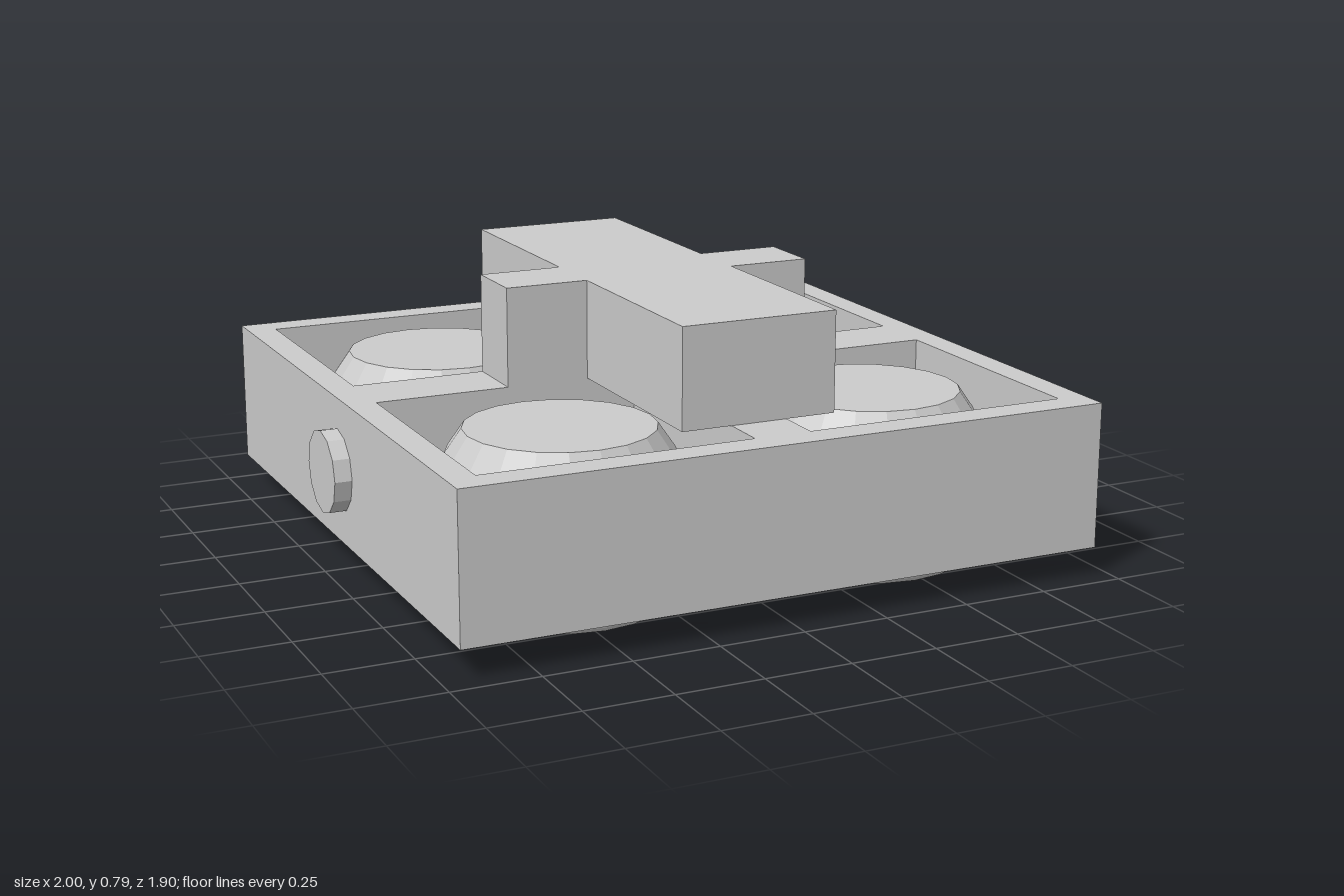
import * as THREE from 'three';

const material = new THREE.MeshStandardMaterial({ color: 0xcccccc, flatShading: true });

function add(group, name, geometry, x = 0, y = 0, z = 0) {
  const mesh = new THREE.Mesh(geometry, material);
  mesh.name = name;
  mesh.position.set(x, y, z);
  group.add(mesh);
  return mesh;
}

// Closed rectangle outline between two corners
function rectangle(x0, y0, x1, y1, Type = THREE.Shape) {
  return new Type([[x0, y0], [x1, y0], [x1, y1], [x0, y1]].map(p => new THREE.Vector2(...p)));
}

export function createModel() {
  const model = new THREE.Group();
  const signs = [-1, 1];

  // Square frame with a cross brace, leaving four open bays
  const frame = rectangle(-0.95, -0.95, 0.95, 0.95);
  for (const sx of signs) for (const sz of signs) {
    const x = [0.083 * sx, 0.867 * sx].sort((a, b) => a - b);
    const z = [0.1 * sz, 0.86 * sz].sort((a, b) => a - b);
    frame.holes.push(rectangle(x[0], z[0], x[1], z[1], THREE.Path));
  }
  const frameGeometry = new THREE.ExtrudeGeometry(frame, { depth: 0.42, bevelEnabled: false });
  frameGeometry.rotateX(-Math.PI / 2);
  add(model, 'frame', frameGeometry, 0, 0.085, 0);

  // Cross-shaped block on top: long beam with two short arms
  const cross = new THREE.Shape([
    [-0.23, -0.725], [0.23, -0.725], [0.23, -0.1], [0.475, -0.1], [0.475, 0.1], [0.23, 0.1],
    [0.23, 0.725], [-0.23, 0.725], [-0.23, 0.1], [-0.475, 0.1], [-0.475, -0.1], [-0.23, -0.1],
  ].map(p => new THREE.Vector2(...p)));
  const crossGeometry = new THREE.ExtrudeGeometry(cross, { depth: 0.287, bevelEnabled: false });
  crossGeometry.rotateX(-Math.PI / 2);
  add(model, 'topCross', crossGeometry, 0, 0.505, 0);

  // Faceted barrel-shaped pod in each bay
  const profile = [
    [0, 0], [0.295, 0], [0.305, 0.012], [0.335, 0.085], [0.36, 0.22],
    [0.352, 0.32], [0.315, 0.42], [0.267, 0.49], [0, 0.49],
  ].map(p => new THREE.Vector2(...p));
  const podGeometry = new THREE.LatheGeometry(profile, 20);
  for (const sx of signs) for (const sz of signs) {
    add(model, 'pod', podGeometry, 0.475 * sx, 0, 0.475 * sz);
  }

  // Round button on each side
  const buttonGeometry = new THREE.CylinderGeometry(0.12, 0.12, 0.07, 12);
  buttonGeometry.rotateZ(Math.PI / 2);
  for (const sx of signs) add(model, 'sideButton', buttonGeometry, 0.965 * sx, 0.295, 0);

  return model;
}
